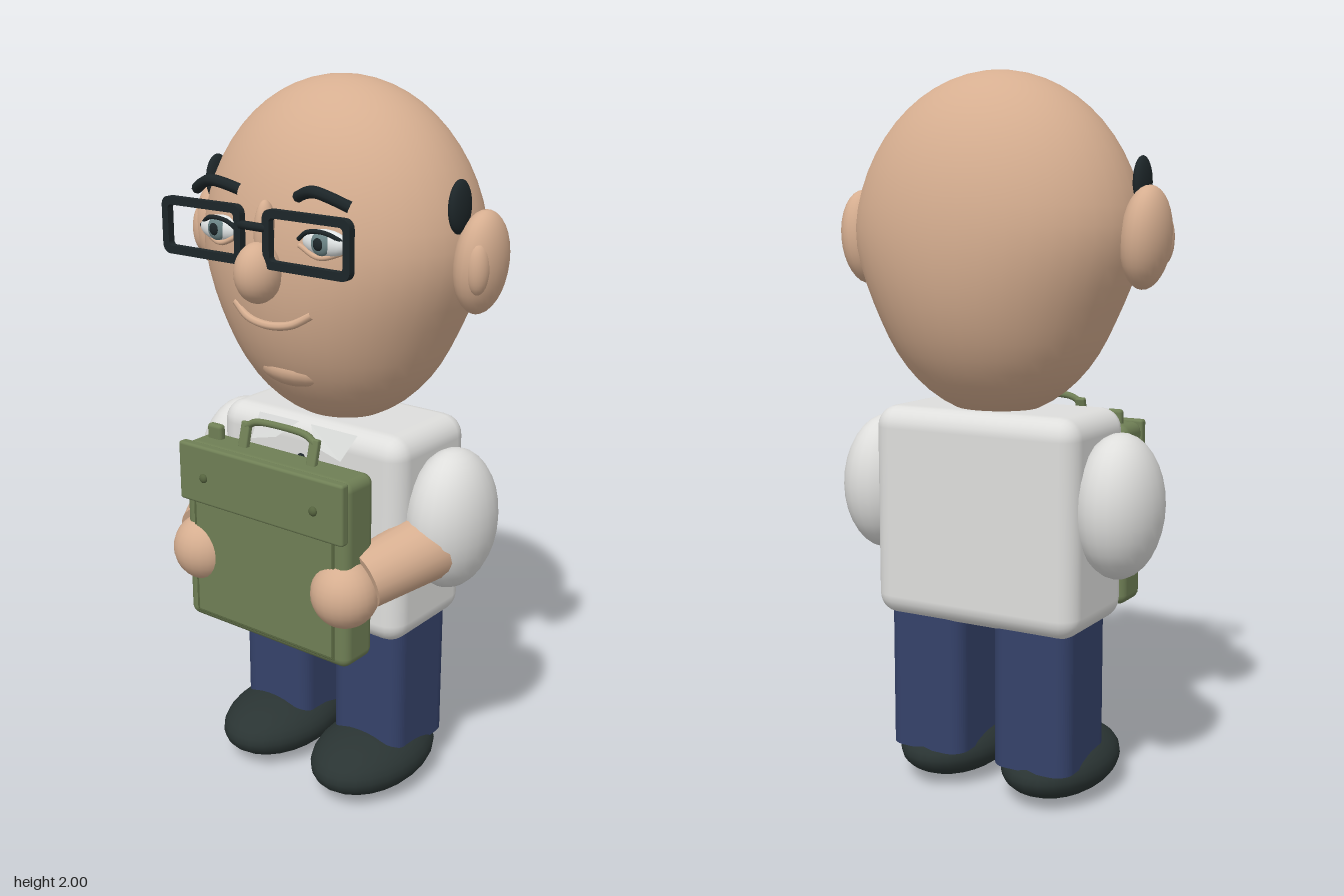
import * as THREE from 'three';
import { RoundedBoxGeometry } from 'three/addons/geometries/RoundedBoxGeometry.js';
import { mergeVertices } from 'three/addons/utils/BufferGeometryUtils.js';

const paint = (name, color, extra = {}) => {
  const m = new THREE.MeshStandardMaterial({ color, ...extra });
  m.name = name;
  return m;
};
const V = (x, y, z) => new THREE.Vector3(x, y, z);

export function createModel() {
  const model = new THREE.Group();
  model.name = 'manWithBriefcase';
  const skin = paint('skin', 0xd6ae90);
  const shirt = paint('shirt', 0xdededc);
  const collarCloth = paint('collarCloth', 0xd2d4d2, { side: THREE.DoubleSide });
  const trousers = paint('trousers', 0x35426a);
  const leather = paint('shoeLeather', 0x2a3433);
  const black = paint('black', 0x1d2629);
  const green = paint('caseGreen', 0x6f7f55);
  const darkGreen = paint('caseTrim', 0x56643f);
  const white = paint('eyeWhite', 0xe2e6e6);
  const iris = paint('iris', 0x6d8688);

  const add = (name, geo, mat, x = 0, y = 0, z = 0) => {
    const m = new THREE.Mesh(geo, mat);
    m.name = name;
    m.position.set(x, y, z);
    model.add(m);
    return m;
  };
  const blob = (name, mat, p, r, w = 24, h = 16) =>
    add(name, new THREE.SphereGeometry(1, w, h).scale(...r), mat, ...p);
  const box = (name, mat, p, s, r = 0.01) =>
    add(name, new RoundedBoxGeometry(...s, 3, r), mat, ...p);
  const tube = (name, mat, pts, r, closed = false, tension = 0.5) =>
    add(name, new THREE.TubeGeometry(
      new THREE.CatmullRomCurve3(pts, closed, 'catmullrom', tension), closed ? 64 : 20, r, 8, closed), mat);
  const limb = (name, mat, a, b, ra, rb) => {
    const d = b.clone().sub(a);
    const m = add(name, new THREE.CylinderGeometry(rb, ra, d.length(), 20), mat, ...a.clone().lerp(b, 0.5));
    m.quaternion.setFromUnitVectors(V(0, 1, 0), d.normalize());
    return m;
  };
  const roundedRect = (w, h, r) => {
    const s = new THREE.Shape();
    for (const [sx, sy, a] of [[1, 1, 0], [-1, 1, 1], [-1, -1, 2], [1, -1, 3]])
      s.absarc(sx * (w / 2 - r), sy * (h / 2 - r), r, a * Math.PI / 2, (a + 1) * Math.PI / 2);
    s.closePath();
    return s;
  };

  // Egg-shaped head, narrowing toward the jaw
  let head = new THREE.SphereGeometry(1, 40, 28).scale(0.412, 0.462, 0.327);
  head.deleteAttribute('uv');
  head.deleteAttribute('normal');
  head = mergeVertices(head);
  const hp = head.attributes.position;
  for (let i = 0; i < hp.count; i++) {
    const t = THREE.MathUtils.smoothstep(0.08 - hp.getY(i), 0, 0.32);
    hp.setX(i, hp.getX(i) * (1 - 0.12 * t));
  }
  head.computeVertexNormals();
  add('head', head, skin, 0, 1.538, -0.045);
  blob('chin', skin, [0, 1.26, 0.12], [0.14, 0.06, 0.102]);
  blob('nose', skin, [0, 1.537, 0.305], [0.058, 0.078, 0.068]);
  blob('noseBridge', skin, [0, 1.63, 0.275], [0.028, 0.085, 0.032]);
  tube('mouth', skin, [V(-0.125, 1.436, 0.25), V(-0.07, 1.405, 0.265), V(0, 1.395, 0.27),
    V(0.07, 1.405, 0.265), V(0.125, 1.436, 0.25)], 0.011);

  for (const s of [-1, 1]) {
    const side = s > 0 ? 'left' : 'right';

    // Ears and side hair
    const ear = blob(side + 'Ear', skin, [s * 0.435, 1.562, -0.042], [0.062, 0.133, 0.09]);
    ear.rotation.z = -s * 0.08;
    blob(side + 'EarInner', skin, [s * 0.458, 1.56, 0.012], [0.03, 0.07, 0.034]);
    blob(side + 'Hair', black, [s * 0.4, 1.703, 0.01], [0.02, 0.068, 0.045]);

    // Eyes with lids and brows
    blob(side + 'Eye', white, [s * 0.17, 1.623, 0.25], [0.07, 0.034, 0.027]);
    blob(side + 'Iris', iris, [s * 0.17, 1.624, 0.268], [0.029, 0.03, 0.015]);
    blob(side + 'Pupil', black, [s * 0.17, 1.624, 0.277], [0.016, 0.017, 0.01]);
    tube(side + 'UpperLid', black, [V(s * 0.1, 1.628, 0.268), V(s * 0.135, 1.65, 0.275),
      V(s * 0.19, 1.652, 0.274), V(s * 0.243, 1.622, 0.246)], 0.006);
    tube(side + 'LowerLid', skin, [V(s * 0.1, 1.612, 0.265), V(s * 0.165, 1.588, 0.265),
      V(s * 0.24, 1.612, 0.24)], 0.007);
    tube(side + 'Eyebrow', black, [V(s * 0.095, 1.73, 0.262), V(s * 0.135, 1.745, 0.28),
      V(s * 0.17, 1.75, 0.287), V(s * 0.21, 1.737, 0.275), V(s * 0.248, 1.718, 0.255)], 0.015);

    // Spectacle rims
    const rim = roundedRect(0.268, 0.148, 0.024);
    rim.holes.push(roundedRect(0.226, 0.106, 0.01));
    add(side + 'Rim', new THREE.ExtrudeGeometry(rim, { depth: 0.02, bevelEnabled: false, curveSegments: 4 }),
      black, s * 0.17, 1.63, 0.31);

    // Arms
    blob(side + 'Sleeve', shirt, [s * 0.372, 0.857, -0.042], [0.115, 0.197, 0.152]);
    limb(side + 'Forearm', skin, V(s * 0.36, 0.805, 0.02), V(s * 0.275, 0.745, 0.23), 0.096, 0.08);
    blob(side + 'Hand', skin, [s * 0.247, 0.715, 0.268], [0.092, 0.095, 0.092]);

    // Legs and shoes
    const leg = new THREE.ExtrudeGeometry(roundedRect(0.237, 0.265, 0.05),
      { depth: 0.45, bevelEnabled: false, curveSegments: 6 }).rotateX(-Math.PI / 2);
    add(side + 'Leg', leg, trousers, s * 0.167, 0.12, -0.05);
    blob(side + 'Shoe', leather, [s * 0.168, 0.093, 0.025], [0.153, 0.089, 0.225]);

    // Collar wings
    const wing = new THREE.BufferGeometry().setFromPoints([
      V(s * 0.02, 1.095, 0.125), V(s * 0.17, 1.09, 0.115), V(s * 0.155, 1.03, 0.17),
      V(s * 0.02, 1.095, 0.125), V(s * 0.155, 1.03, 0.17), V(s * 0.07, 1.05, 0.165)]);
    wing.computeVertexNormals();
    add(side + 'Collar', wing, collarCloth);
  }
  tube('spectacleBridge', black, [V(-0.04, 1.655, 0.322), V(0, 1.66, 0.34), V(0.04, 1.655, 0.322)], 0.011);

  // Shirt body and buttons
  box('torso', shirt, [0, 0.803, -0.04], [0.63, 0.596, 0.342], 0.06);
  for (const y of [0.64, 0.76, 0.88, 1.0])
    blob('shirtButton', black, [0, y, 0.145], [0.012, 0.012, 0.012], 10, 8);

  // Briefcase with flap, front panel, studs and handle
  box('briefcase', green, [0, 0.772, 0.247], [0.565, 0.525, 0.125], 0.028);
  box('caseFlap', green, [0, 0.955, 0.313], [0.565, 0.168, 0.03], 0.008);
  box('casePanel', green, [0, 0.705, 0.309], [0.475, 0.335, 0.012], 0.004);
  box('caseBottomSeam', darkGreen, [0, 0.536, 0.309], [0.49, 0.008, 0.01], 0.003);
  box('caseTab', green, [-0.225, 1.045, 0.235], [0.05, 0.06, 0.025]);
  for (const s of [-1, 1]) {
    box('casePanelSeam', darkGreen, [s * 0.241, 0.705, 0.309], [0.008, 0.335, 0.01], 0.003);
    blob('caseStud', darkGreen, [s * 0.19, 0.95, 0.33], [0.013, 0.013, 0.009], 12, 8);
    const post = box('handlePost', green, [s * 0.118, 1.06, 0.237], [0.03, 0.085, 0.018], 0.005);
    post.rotation.x = -0.25;
  }
  tube('handleGrip', green, [V(-0.118, 1.09, 0.23), V(-0.07, 1.108, 0.226),
    V(0.07, 1.108, 0.226), V(0.118, 1.09, 0.23)], 0.01);

  return model;
}
